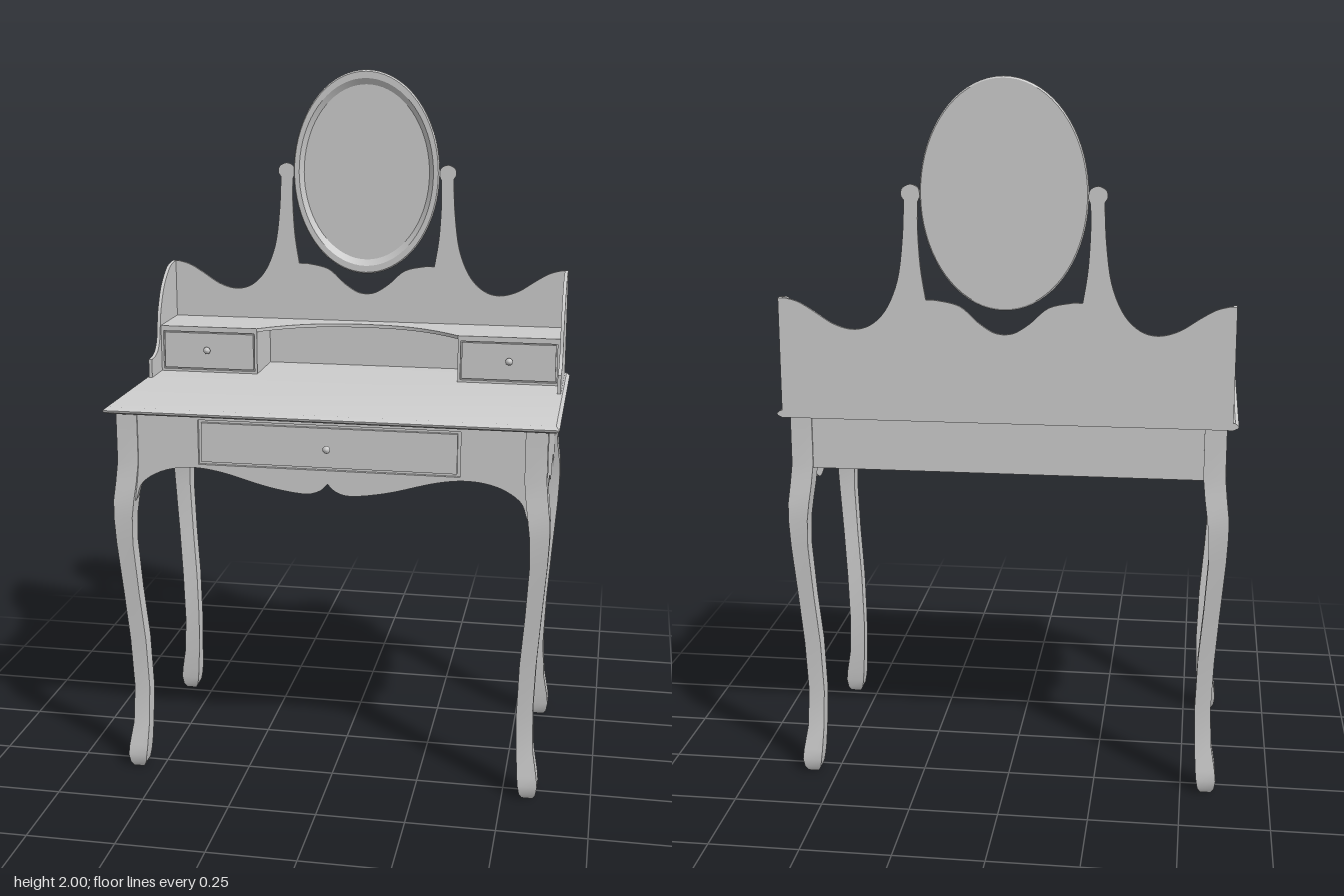
import * as THREE from 'three';
import { toCreasedNormals } from 'three/addons/utils/BufferGeometryUtils.js';

const grey = new THREE.MeshStandardMaterial({ color: 0xcccccc, side: THREE.DoubleSide });

export function createModel() {
  const model = new THREE.Group();

  const add = (name, geo, x = 0, y = 0, z = 0) => {
    const mesh = new THREE.Mesh(geo, grey);
    mesh.name = name;
    mesh.position.set(x, y, z);
    model.add(mesh);
    return mesh;
  };

  // Box given by its limits
  const box = (name, x0, x1, y0, y1, z0, z1) =>
    add(name, new THREE.BoxGeometry(x1 - x0, y1 - y0, z1 - z0), (x0 + x1) / 2, (y0 + y1) / 2, (z0 + z1) / 2);

  // Smooth curve through a few points
  const curve = (pts, n = 24) => new THREE.SplineCurve(pts.map(p => new THREE.Vector2(...p))).getPoints(n);
  const corner = (x, y) => new THREE.Vector2(x, y);
  // Outline from its left half, mirrored about x = 0
  const mirrored = half => [...half, ...half.slice(0, -1).reverse().map(p => corner(-p.x, p.y))];
  const rect = (x0, x1, y0, y1) => [corner(x0, y0), corner(x1, y0), corner(x1, y1), corner(x0, y1)];

  const plate = (points, depth, hole) => {
    const shape = new THREE.Shape(points);
    if (hole) shape.holes.push(new THREE.Path(hole));
    return toCreasedNormals(new THREE.ExtrudeGeometry(shape, { depth, bevelEnabled: false }), 0.5);
  };

  // Loft of rectangles [y, x0, x1, z0, z1] from bottom to top
  const loft = sections => {
    const pos = [];
    const rings = sections.map(([y, x0, x1, z0, z1]) => [[x0, y, z1], [x1, y, z1], [x1, y, z0], [x0, y, z0]]);
    const quad = (a, b, c, d) => pos.push(...a, ...b, ...c, ...a, ...c, ...d);
    for (let i = 0; i < rings.length - 1; i++) {
      for (let k = 0; k < 4; k++) {
        const m = (k + 1) % 4;
        quad(rings[i][k], rings[i][m], rings[i + 1][m], rings[i + 1][k]);
      }
    }
    const b = rings[0], t = rings[rings.length - 1];
    quad(b[3], b[2], b[1], b[0]);
    quad(t[0], t[1], t[2], t[3]);
    const geo = new THREE.BufferGeometry();
    geo.setAttribute('position', new THREE.Float32BufferAttribute(pos, 3));
    return toCreasedNormals(geo, 0.5);
  };

  // Small turned knob pointing forwards
  const knob = (name, x, y, z) => {
    const profile = [[0, 0], [0.006, 0], [0.004, 0.008], [0.009, 0.012], [0.011, 0.018], [0.008, 0.024], [0, 0.026]];
    const geo = new THREE.LatheGeometry(profile.map(p => corner(...p)), 16);
    geo.rotateX(Math.PI / 2);
    add(name, geo, x, y, z);
  };

  // Table top with a moulded edge, flush at the back
  add('tableTop', loft([
    [1.08, -0.615, 0.615, -0.34, 0.325], [1.086, -0.628, 0.628, -0.34, 0.338],
    [1.092, -0.63, 0.63, -0.34, 0.34], [1.1, -0.62, 0.62, -0.34, 0.325]]));

  // Curved legs: height, outer and inner x; z follows the same curve
  const legCurve = [[0, 0.588, 0.557], [0.015, 0.596, 0.549], [0.04, 0.6, 0.545], [0.07, 0.597, 0.542],
    [0.14, 0.585, 0.538], [0.25, 0.58, 0.535], [0.4, 0.586, 0.54], [0.55, 0.597, 0.552], [0.7, 0.609, 0.561],
    [0.78, 0.613, 0.559], [0.83, 0.612, 0.553], [0.88, 0.606, 0.546], [0.94, 0.6, 0.54], [1.08, 0.6, 0.54]];
  const dz = 0.287;
  for (const sx of [-1, 1]) for (const sz of [-1, 1]) {
    add((sz > 0 ? 'front' : 'back') + 'Leg' + (sx > 0 ? 'Left' : 'Right'), loft(legCurve.map(([y, o, i]) => [y,
      sx > 0 ? i : -o, sx > 0 ? o : -i, sz > 0 ? i - dz : dz - o, sz > 0 ? o - dz : dz - i])));
  }

  // Scalloped front apron with the drawer opening
  const frontHalf = [corner(-0.57, 1.08), ...curve([[-0.57, 0.8], [-0.55, 0.83], [-0.53, 0.88], [-0.47, 0.917],
    [-0.39, 0.931], [-0.3, 0.921], [-0.17, 0.886], [-0.07, 0.871], [-0.025, 0.88], [0, 0.902]], 40)];
  add('frontApron', plate(mirrored(frontHalf), 0.018, rect(-0.366, 0.366, 0.941, 1.069)), 0, 0, 0.29);
  box('drawerFront', -0.357, 0.357, 0.949, 1.061, 0.28, 0.308);
  box('drawerBody', -0.38, 0.38, 0.935, 1.075, 0.0, 0.298);
  knob('drawerKnob', 0, 1.005, 0.306);

  // Scalloped side aprons
  const sideHalf = [corner(-0.285, 1.08), ...curve([[-0.285, 0.76], [-0.272, 0.8], [-0.258, 0.845], [-0.22, 0.873],
    [-0.18, 0.88], [-0.14, 0.868], [-0.105, 0.846], [-0.07, 0.838], [-0.03, 0.853], [0, 0.878]], 36)];
  const sideApron = plate(mirrored(sideHalf), 0.015).rotateY(-Math.PI / 2);
  add('sideApronLeft', sideApron, 0.594);
  add('sideApronRight', sideApron, -0.579);

  // Straight back apron and bottom board
  box('backApron', -0.57, 0.57, 0.93, 1.08, -0.308, -0.29);
  box('bottomBoard', -0.58, 0.58, 0.93, 0.938, -0.292, 0.292);

  // Back board with wavy top and two mirror posts
  const backHalf = [corner(-0.61, 1.1), corner(-0.61, 1.413),
    ...curve([[-0.595, 1.413], [-0.56, 1.403], [-0.52, 1.38], [-0.465, 1.345], [-0.41, 1.331], [-0.36, 1.345],
      [-0.317, 1.39], [-0.285, 1.47], [-0.27, 1.58], [-0.265, 1.68]], 40),
    ...curve([[-0.272, 1.69], [-0.27, 1.71], [-0.248, 1.722], [-0.226, 1.712], [-0.222, 1.69]], 14),
    ...curve([[-0.228, 1.675], [-0.229, 1.6], [-0.223, 1.5], [-0.21, 1.415]], 14),
    ...curve([[-0.185, 1.415], [-0.12, 1.4], [-0.07, 1.357], [-0.03, 1.331], [0, 1.325]], 20)];
  add('backBoard', plate(mirrored(backHalf), 0.008), 0, 0, -0.34);

  // Curved side panels of the upper part
  const sidePanel = plate([corner(-0.34, 1.1), corner(-0.05, 1.1), corner(-0.05, 1.155),
    ...curve([[-0.085, 1.157], [-0.115, 1.17], [-0.137, 1.2], [-0.148, 1.25], [-0.162, 1.295], [-0.2, 1.355],
      [-0.26, 1.4], [-0.31, 1.412], [-0.34, 1.413]], 36)], 0.01).rotateY(-Math.PI / 2);
  add('sidePanelLeft', sidePanel, 0.615);
  add('sidePanelRight', sidePanel, -0.605);

  // Shelf with an arched cutout at the front, laid flat (shape y becomes -z)
  const shelfHalf = [corner(-0.606, 0.334), corner(-0.606, 0.152),
    ...curve([[-0.305, 0.152], [-0.25, 0.2], [-0.18, 0.243], [-0.1, 0.27], [0, 0.28]], 24)];
  add('shelf', plate(mirrored(shelfHalf), 0.01).rotateX(-Math.PI / 2), 0, 1.23, 0);

  // Two small drawers beneath the shelf
  for (const s of [-1, 1]) {
    const side = s > 0 ? 'Left' : 'Right';
    const x0 = s > 0 ? 0.305 : -0.606, x1 = x0 + 0.301;
    box('smallDrawerBody' + side, x0, x1, 1.1, 1.23, -0.333, -0.165);
    add('smallDrawerFrame' + side,
      plate(rect(x0, x1, 1.1, 1.23), 0.012, rect(x0 + 0.008, x1 - 0.008, 1.107, 1.224)), 0, 0, -0.165);
    box('smallDrawerFront' + side, x0 + 0.012, x1 - 0.012, 1.111, 1.22, -0.166, -0.154);
    knob('smallDrawerKnob' + side, s * 0.458, 1.17, -0.156);
  }

  // Oval mirror: turned rim and recessed glass, squashed to an ellipse
  const rim = [[0.88, -0.332], [0.88, -0.338], [0.985, -0.338], [1, -0.335], [1, -0.323], [0.985, -0.318],
    [0.92, -0.318], [0.86, -0.329]];
  const frame = new THREE.LatheGeometry(rim.map(p => corner(...p)), 72).rotateX(Math.PI / 2);
  frame.scale(0.223, 0.305, 1);
  add('mirrorFrame', toCreasedNormals(frame, 0.5), 0, 1.695, 0);
  const glass = new THREE.CylinderGeometry(0.9, 0.9, 0.009, 72).rotateX(Math.PI / 2);
  glass.scale(0.223, 0.305, 1);
  add('mirrorGlass', glass, 0, 1.695, -0.3335);

  return model;
}
